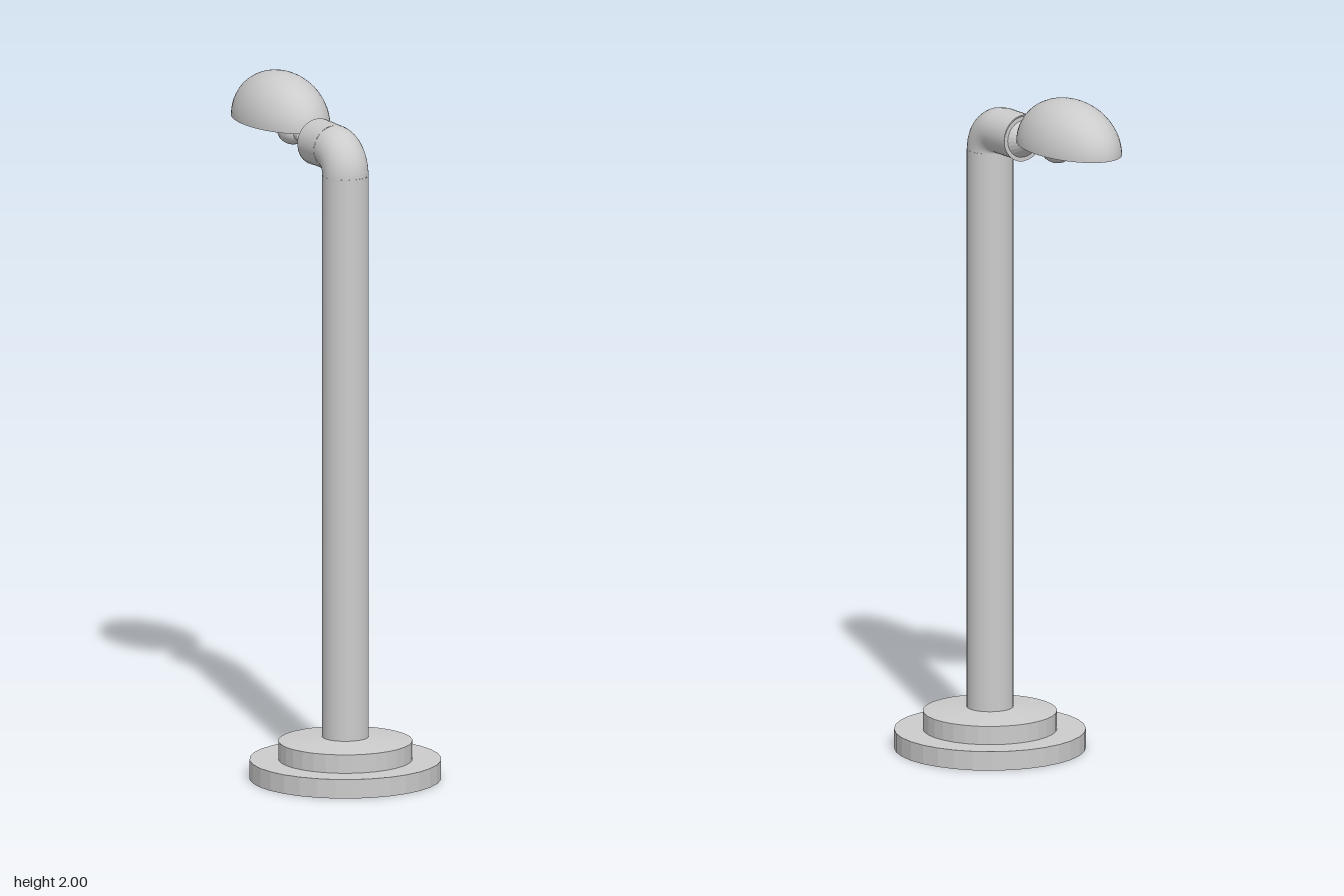
import * as THREE from 'three';

const POLE_R = 0.067, POLE_Z = 0.163, ARM_Y = 1.84, SIDES = 32;

function makeMaterial(flatShading) {
  return new THREE.MeshStandardMaterial({ color: 0xcccccc, flatShading, side: THREE.DoubleSide });
}

function lathe(points, sides) {
  return new THREE.LatheGeometry(points.map(([r, y]) => new THREE.Vector2(r, y)), sides);
}

export function createModel() {
  const group = new THREE.Group();
  const flat = makeMaterial(true), smooth = makeMaterial(false);

  function add(name, geometry, material, x, y, z) {
    const mesh = new THREE.Mesh(geometry, material);
    mesh.name = name;
    mesh.position.set(x, y, z);
    group.add(mesh);
    return mesh;
  }

  // Stepped base: a thin shell, open underneath
  add('base', lathe([
    [0.276, 0], [0.276, 0.056], [0.193, 0.056], [0.193, 0.11], [POLE_R, 0.122],
  ], SIDES), flat, 0, 0, POLE_Z);

  // Pole, tight quarter bend and short horizontal arm
  const bendY = ARM_Y - POLE_R, bendZ = POLE_Z - POLE_R, armEnd = -0.006;
  const poleH = bendY - 0.12;
  add('pole', new THREE.CylinderGeometry(POLE_R, POLE_R, poleH, SIDES, 1, true),
    smooth, 0, 0.12 + poleH / 2, POLE_Z);
  const bend = add('bend', new THREE.TorusGeometry(POLE_R, POLE_R - 0.0005, SIDES, 10, Math.PI / 2),
    smooth, 0, bendY, bendZ);
  bend.rotation.y = -Math.PI / 2;
  const armL = bendZ - armEnd;
  const arm = add('arm', new THREE.CylinderGeometry(POLE_R, POLE_R, armL, SIDES, 1, true),
    smooth, 0, ARM_Y, armEnd + armL / 2);
  arm.rotation.x = -Math.PI / 2;

  // End ring, tapered collar and thin neck, turned to run backwards
  const neck = add('neck', lathe([
    [POLE_R, 0], [0.055, 0], [0.03, 0.034], [0.018, 0.036], [0.018, 0.075],
    [0.014, 0.08], [0.014, 0.09], [0.018, 0.096], [0.018, 0.125],
  ], 24), flat, 0, 1.833, armEnd);
  neck.rotation.x = -Math.PI / 2;
  neck.position.y = ARM_Y - 0.003;

  // Bulb
  const bulb = add('bulb', new THREE.SphereGeometry(1, 24, 16), smooth, 0, 1.835, -0.17);
  bulb.scale.set(0.036, 0.035, 0.055);

  // Half-egg shade: outer dome, inner dome and rim
  const dome = (rx, ry, rz) => new THREE.SphereGeometry(1, 40, 14, 0, Math.PI * 2, 0, Math.PI / 2).scale(rx, ry, rz);
  const shadeY = 1.857, shadeZ = -0.237;
  add('shade', dome(0.122, 0.143, 0.201), smooth, 0, shadeY, shadeZ);
  add('shadeLining', dome(0.109, 0.129, 0.186), smooth, 0, shadeY, shadeZ);
  const rimShape = new THREE.Shape().absellipse(0, 0, 0.122, 0.201, 0, Math.PI * 2);
  rimShape.holes.push(new THREE.Path().absellipse(0, 0, 0.109, 0.186, 0, Math.PI * 2, true));
  const rim = add('shadeRim', new THREE.ShapeGeometry(rimShape, 40), smooth, 0, shadeY, shadeZ);
  rim.rotation.x = Math.PI / 2;

  return group;
}
